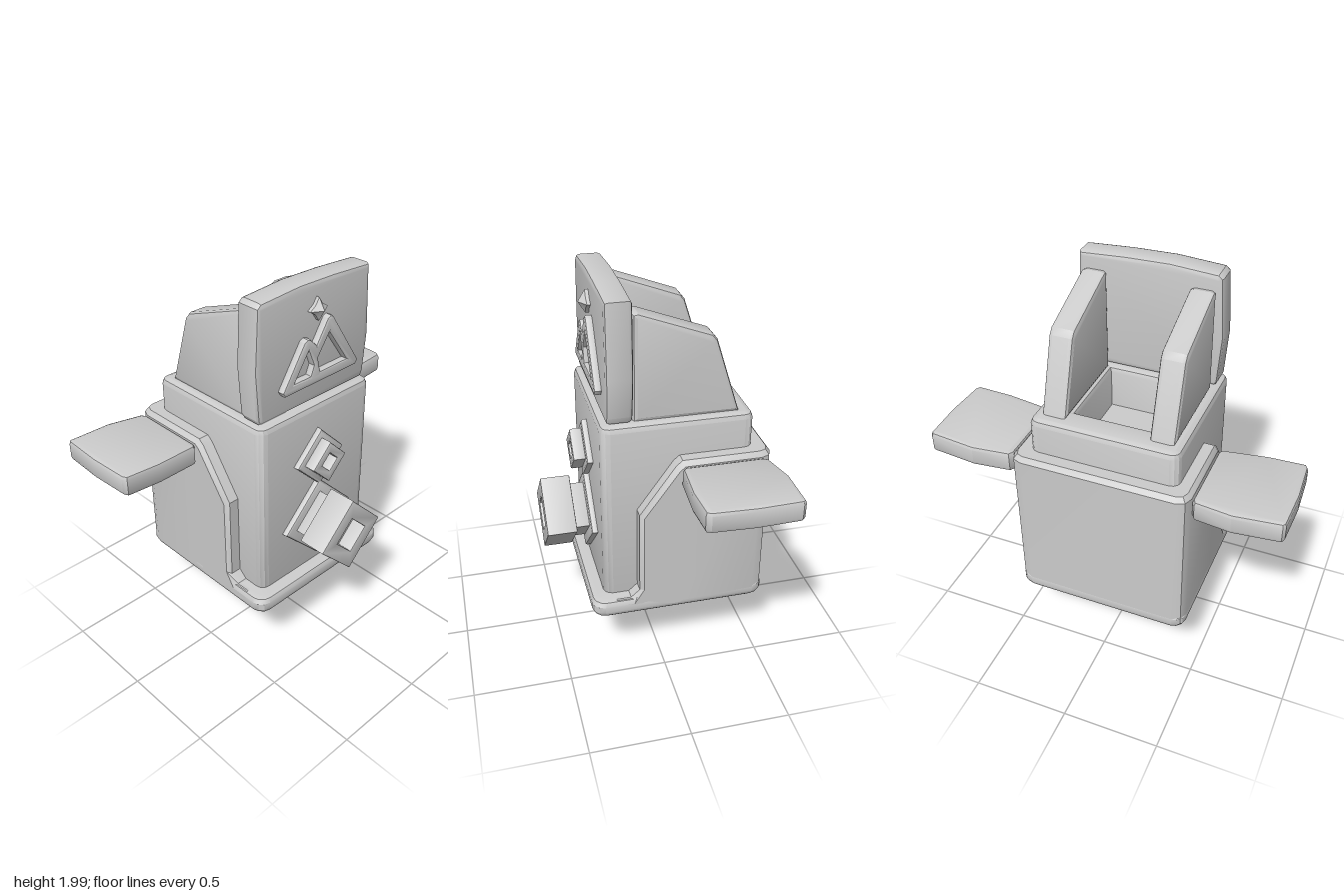
import * as THREE from 'three';
import { toCreasedNormals } from 'three/addons/utils/BufferGeometryUtils.js';

const stone = new THREE.MeshStandardMaterial({ color: 0xcccccc });
stone.name = 'pale grey stone';

const toVecs = (pts) => pts.map(([x, y]) => new THREE.Vector2(x, y));

// Bevelled slab: outline drawn in a plane, extruded from 0 to depth
function slab(points, depth, bevel, holes = []) {
  const shape = new THREE.Shape(toVecs(points));
  holes.forEach((h) => shape.holes.push(new THREE.Path(toVecs(h))));
  const g = new THREE.ExtrudeGeometry(shape, {
    depth: depth - 2 * bevel, bevelEnabled: true, bevelThickness: bevel,
    bevelSize: bevel, bevelOffset: -bevel, bevelSegments: 2, curveSegments: 4,
  });
  g.translate(0, 0, bevel);
  return toCreasedNormals(g, 0.42);
}

// Skin between rows of points, bottom row first
function loft(rows, closed) {
  const n = rows[0].length;
  const index = [];
  for (let i = 0; i < rows.length - 1; i++) {
    for (let j = 0; j < (closed ? n : n - 1); j++) {
      const k = (j + 1) % n;
      const a = i * n + j, b = i * n + k, c = (i + 1) * n + k, d = (i + 1) * n + j;
      index.push(a, b, c, a, c, d);
    }
  }
  const g = new THREE.BufferGeometry();
  g.setAttribute('position', new THREE.Float32BufferAttribute(rows.flat(2), 3));
  g.setIndex(index);
  return toCreasedNormals(g, 0.5);
}

// Rounded square, counter-clockwise from above, as [x, z]
function roundedRect(hx, hz, r) {
  const out = [];
  [[1, 1], [1, -1], [-1, -1], [-1, 1]].forEach(([sx, sz], q) => {
    for (let s = 0; s <= 3; s++) {
      const t = (q + s / 3) * Math.PI / 2;
      out.push([sx * (hx - r) + Math.sin(t) * r, sz * (hz - r) + Math.cos(t) * r]);
    }
  });
  return out;
}

const diamond = (h, y = 0) => [[h, y], [0, y + h], [-h, y], [0, y - h]];

export function createModel() {
  const model = new THREE.Group();
  model.name = 'floatingGolem';
  const add = (name, geometry, x = 0, y = 0, z = 0) => {
    const mesh = new THREE.Mesh(geometry, stone);
    mesh.name = name;
    mesh.position.set(x, y, z);
    model.add(mesh);
    return mesh;
  };

  // Pointed base with a rounded lip: [height, half width, corner radius]
  const baseRows = [
    [0.008, 0.004, 0.002], [0.018, 0.028, 0.012], [0.325, 0.425, 0.05], [0.345, 0.447, 0.06],
    [0.365, 0.455, 0.06], [0.4, 0.455, 0.06], [0.422, 0.445, 0.06], [0.43, 0.42, 0.05], [0.43, 0.2, 0.02],
  ].map(([y, h, r]) => roundedRect(h, h * 0.99, r).map(([x, z]) => [x, y, z - 0.09]));
  add('pointedBase', loft(baseRows, true));

  // Shell around back and sides; wall x,z,y / outer rim x,z,y / inner rim x,z
  const half = [
    [0.455, 0.24, 0.40, 0.435, 0.24, 0.43, 0.37, 0.24],
    [0.455, 0.15, 0.40, 0.435, 0.165, 0.43, 0.37, 0.165],
    [0.455, 0.10, 0.48, 0.435, 0.12, 0.47, 0.37, 0.12],
    [0.455, 0.10, 0.91, 0.435, 0.12, 0.92, 0.37, 0.12],
    [0.455, -0.075, 1.155, 0.435, -0.06, 1.175, 0.37, -0.06],
    [0.455, -0.10, 1.175, 0.435, -0.09, 1.2, 0.37, -0.09],
    [0.455, -0.48, 1.175, 0.435, -0.475, 1.2, 0.37, -0.44],
    [0.438, -0.522, 1.175, 0.422, -0.507, 1.2, 0.365, -0.445],
    [0.395, -0.54, 1.175, 0.39, -0.52, 1.2, 0.36, -0.45],
  ];
  const mirrored = half.map(([a, b, c, d, e, f, g, h]) => [-a, b, c, -d, e, f, -g, h]).reverse();
  const stations = [...half, ...mirrored];
  add('outerShell', loft([
    stations.map((s) => [s[0], 0.365, s[1]]),
    stations.map((s) => [s[0], s[2], s[1]]),
    stations.map((s) => [s[3], s[5], s[4]]),
    stations.map((s) => [s[6], s[5], s[7]]),
  ], false));

  // Hollow inner body and the floor of its well
  const bodyOutline = roundedRect(0.38, 0.375, 0.045).map(([x, z]) => [x, -(z - 0.085)]);
  const well = [[-0.195, 0.31], [0.195, 0.31], [0.195, -0.11], [-0.195, -0.11]];
  const body = slab(bodyOutline, 0.98, 0.03, [well]);
  body.rotateX(-Math.PI / 2);
  add('innerBody', body, 0, 0.4, 0);
  add('wellFloor', new THREE.BoxGeometry(0.44, 0.04, 0.46), 0, 1.13, -0.1);

  // Head: uneven front slab and two sloping side walls
  add('headFront', slab([
    [-0.35, 1.388], [0.345, 1.388], [0.358, 1.42], [0.378, 1.62], [0.362, 1.98],
    [0.12, 1.995], [-0.1, 2.0], [-0.34, 1.985], [-0.362, 1.965], [-0.38, 1.66], [-0.362, 1.41],
  ], 0.13, 0.02), 0, 0, 0.13);
  for (const s of [1, -1]) {
    const wall = slab([[0.125, 1.375], [0.125, 1.905], [0.1, 1.91], [-0.25, 1.78], [-0.275, 1.75], [-0.395, 1.375]], 0.127, 0.022);
    wall.rotateY(-Math.PI / 2);
    add(s > 0 ? 'headWallLeft' : 'headWallRight', wall, s > 0 ? 0.337 : -0.21);
  }

  // Raised peaks and spark on the head
  add('peakRelief', slab([
    [-0.24, 1.525], [-0.225, 1.5], [0.255, 1.5], [0.27, 1.525], [0.085, 1.81], [0.065, 1.82],
    [0.045, 1.81], [-0.025, 1.7], [-0.065, 1.74], [-0.085, 1.745], [-0.105, 1.735],
  ], 0.05, 0.012, [
    [[-0.165, 1.55], [-0.06, 1.55], [-0.04, 1.6], [-0.075, 1.685]],
    [[0.005, 1.555], [0.185, 1.555], [0.06, 1.735], [-0.012, 1.63]],
  ]), 0, 0, 0.245);
  const rim = [];
  for (let i = 0; i < 8; i++) {
    const r = i % 2 ? 0.032 : 0.057, t = i * Math.PI / 4;
    rim.push([Math.cos(t) * r, Math.sin(t) * r]);
  }
  add('spark', loft([
    rim.map(([x, y]) => [x, y, 0]), rim.map(([x, y]) => [x, y, 0.02]), rim.map(() => [0, 0, 0.055]),
  ], true), 0, 1.865, 0.257);

  // Small diamond boss
  add('upperDiamondPlate', slab(diamond(0.162), 0.045, 0.012), 0, 1.085, 0.275);
  add('upperDiamondRing', slab(diamond(0.115), 0.07, 0.008, [diamond(0.052)]), 0, 1.085, 0.31);

  // Large diamond lantern on a neck
  add('lanternPlate', slab(diamond(0.237), 0.045, 0.012), 0, 0.715, 0.275);
  add('lanternNeck', slab(diamond(0.165), 0.15, 0.005), 0, 0.715, 0.31);
  add('lanternBlock', slab(diamond(0.212), 0.152, 0.006, [diamond(0.103)]), 0, 0.72, 0.39);

  // Floating hands, each with a small spike underneath
  const handOutline = [
    [0.46, -0.1], [0.475, -0.08], [0.7, -0.06], [0.885, -0.065], [0.898, -0.09],
    [0.91, -0.3], [0.902, -0.51], [0.89, -0.525], [0.66, -0.537], [0.475, -0.505], [0.46, -0.48],
  ];
  for (const s of [1, -1]) {
    const side = s > 0 ? 'Left' : 'Right';
    const hand = slab(handOutline.map(([x, z]) => [s * x, -z]), 0.112, 0.02);
    hand.rotateX(-Math.PI / 2);
    const p = hand.attributes.position;
    for (let i = 0; i < p.count; i++) p.setY(i, p.getY(i) + (Math.abs(p.getX(i)) - 0.68) * 0.055);
    add('hand' + side, toCreasedNormals(hand, 0.42), 0, 1.08, 0);

    const plate = new THREE.CylinderGeometry(0.145, 0.13, 0.025, 4).rotateY(Math.PI / 4);
    add('handPlate' + side, toCreasedNormals(plate, 0.3), s * 0.68, 1.075, -0.29).rotation.z = s * 0.055;
    const spike = new THREE.ConeGeometry(0.112, 0.065, 4).rotateY(Math.PI / 4).rotateX(Math.PI);
    add('handSpike' + side, toCreasedNormals(spike, 0.3), s * 0.68, 1.034, -0.29).rotation.z = s * 0.055;
  }
  return model;
}
